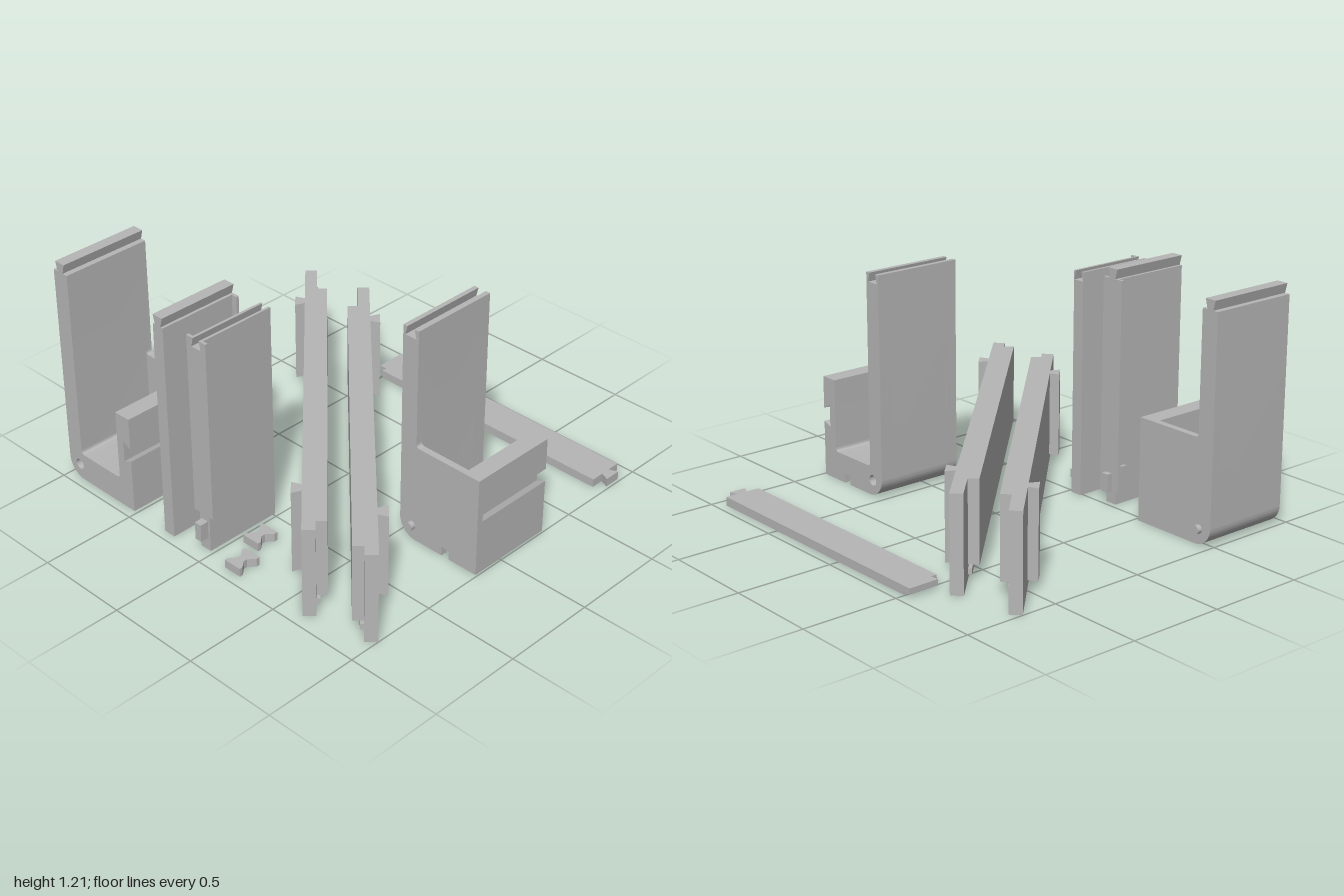
import * as THREE from 'three';
import { toCreasedNormals } from 'three/addons/utils/BufferGeometryUtils.js';

export function createModel() {
  const root = new THREE.Group();
  root.name = 'partKit';
  const grey = new THREE.MeshStandardMaterial({ color: 0xb6b6b6 });
  grey.name = 'plain grey';

  const add = (parent, name, geo) => {
    const m = new THREE.Mesh(geo, grey);
    m.name = name;
    parent.add(m);
    return m;
  };
  const group = (name) => {
    const g = new THREE.Group();
    g.name = name;
    root.add(g);
    return g;
  };
  const polygon = (pts) => new THREE.Shape(pts.map(([x, y]) => new THREE.Vector2(x, y)));
  const extrude = (shape, depth) => toCreasedNormals(
    new THREE.ExtrudeGeometry(shape, { depth, bevelEnabled: false, curveSegments: 12 }), 0.5);
  // front-view outline pushed along z from z0 to z1
  const alongZ = (shape, z0, z1) => extrude(shape, z1 - z0).translate(0, 0, z0);
  // plan outline of [x, z] points pushed up from y0 to y1
  const alongY = (pts, y0, y1) =>
    extrude(polygon(pts.map(([x, z]) => [x, -z])), y1 - y0).rotateX(-Math.PI / 2).translate(0, y0, 0);
  const box = (x0, x1, y0, y1, z0, z1) =>
    new THREE.BoxGeometry(x1 - x0, y1 - y0, z1 - z0)
      .translate((x0 + x1) / 2, (y0 + y1) / 2, (z0 + z1) / 2);

  // Dovetail tops, listed from +x to -x
  const TOP = 1.155;
  const ridge = (c) => [[c + 0.018, TOP], [c + 0.031, 1.205], [c - 0.031, 1.205], [c - 0.018, TOP]];
  const groove = (c, w) => [[c + w * 0.65, TOP], [c + w, 1.108], [c - w, 1.108], [c - w * 0.65, TOP]];

  // Bracket outline: tall post, block, optional pocket and clip notch
  function bracketShape(pocket, notch, top) {
    const s = new THREE.Shape();
    const lines = (pts) => pts.forEach(([x, y]) => s.lineTo(x, y));
    s.moveTo(0.1, 0);
    if (notch) {
      const a = 0.29 - notch / 2, b = 0.29 + notch / 2;
      lines([[a, 0], [a, 0.05], [b, 0.05], [b, 0]]);
    }
    s.lineTo(0.48, 0);
    if (pocket) {
      lines([[0.48, 0.29], [0.43, 0.27], [0.43, 0.385], [0.48, 0.36], [0.48, 0.53], [0.385, 0.53], [0.385, 0.17]]);
      s.quadraticCurveTo(0.385, 0.15, 0.365, 0.15);
      s.lineTo(0.115, 0.15);
      s.quadraticCurveTo(0.095, 0.15, 0.095, 0.17);
    } else {
      lines([[0.48, 0.53], [0.115, 0.53]]);
      s.quadraticCurveTo(0.095, 0.53, 0.095, 0.55);
    }
    lines([[0.095, TOP], ...top, [0, TOP], [0, 0.1]]);
    s.absarc(0.1, 0.1, 0.1, Math.PI, Math.PI * 1.5, false);
    if (pocket) {
      const hole = new THREE.Path();
      hole.absarc(0.075, 0.08, 0.028, 0, Math.PI * 2, true);
      s.holes.push(hole);
    }
    return s;
  }

  // slices: [start, end, pocket, notch], measured from the closed wall
  function bracket(name, x, wallZ, dir, top, slices) {
    const g = group(name);
    g.position.set(x, 0, wallZ);
    for (const [a, b, pocket, notch] of slices) {
      const z = [a * dir, b * dir].sort((p, q) => p - q);
      add(g, pocket ? 'pocketBody' : 'closedWall', alongZ(bracketShape(pocket, notch, top), z[0], z[1]));
    }
    add(g, 'hingePeg', new THREE.CylinderGeometry(0.022, 0.022, 0.04, 24)
      .rotateX(Math.PI / 2).translate(0.075, 0.08, -0.005 * dir));
  }
  bracket('leftBracket', -1, 0.47, 1, ridge(0.047), [[0, 0.035, false, 0], [0.035, 0.48, true, 0]]);
  bracket('rightBracket', 0.51, 0.17, -1, groove(0.047, 0.034), [
    [0, 0.035, false, 0.045], [0.035, 0.065, true, 0.09], [0.065, 0.415, true, 0],
    [0.415, 0.45, true, 0.09], [0.45, 0.48, true, 0.045]]);

  // Upright plates: core, edge flange and locking pin
  const plateShape = (c, w, y0, top) =>
    polygon([[c - w, y0], [c + w, y0], [c + w, TOP], ...top, [c - w, TOP]]);

  const ridged = group('ridgedPlate');
  add(ridged, 'core', alongZ(plateShape(-0.262, 0.033, 0, ridge(-0.262)), 0.53, 0.95));
  add(ridged, 'flange', alongZ(plateShape(-0.262, 0.063, 0.07, ridge(-0.262)), 0.515, 0.53));
  add(ridged, 'pin', box(-0.282, -0.242, 0.07, 0.165, 0.485, 0.52));
  add(ridged, 'crossBar', box(-0.312, -0.212, 0.165, 0.2, 0.55, 0.585));

  const grooved = group('groovedPlate');
  add(grooved, 'core', alongZ(plateShape(-0.054, 0.033, 0, groove(-0.054, 0.03)), 0.485, 0.905));
  add(grooved, 'flange', alongZ(plateShape(-0.054, 0.063, 0.2, groove(-0.054, 0.03)), 0.895, 0.91));
  add(grooved, 'pin', box(-0.074, -0.034, 0.07, 0.165, 0.9, 0.95));

  // Diagonal walls: u runs along the wall, v across it, side picks the tail face
  function wall(name, start, faceV, side) {
    const g = group(name);
    const R = Math.SQRT1_2;
    const place = (pts) => {
      const out = pts.map(([u, v]) => {
        const a = (start + u) * R, b = faceV + v * side;
        return [(a + b) * R, (a - b) * R];
      });
      return side > 0 ? out : out.reverse();
    };
    const rect = (u0, u1, v0, v1) => place([[u0, v0], [u0, v1], [u1, v1], [u1, v0]]);
    add(g, 'mainPanel', alongY(rect(0, 3.258, 0, 0.063), 0, 0.485));
    add(g, 'innerPanel', alongY(rect(0.274, 3.167, -0.053, 0), 0.07, 0.485));
    add(g, 'lowerBead', alongY(rect(0.274, 3.167, -0.018, 0), 0.02, 0.05));
    // u is doubled by the diagonal, so tail half-widths are scaled to match
    for (const c of [0.45, 2.807]) {
      add(g, 'dovetail', alongY(place([
        [c - 0.035, 0.063], [c - 0.062, 0.113], [c + 0.062, 0.113], [c + 0.035, 0.063]]), 0.04, 0.485));
    }
  }
  wall('frontWall', -1.687, -0.156, -1);
  wall('rearWall', -1.428, 0.056, 1);

  // Flat bar with a dovetail tongue and a stepped end
  const bar = group('flatBar');
  add(bar, 'bar', box(-0.49, 0.94, 0, 0.045, -0.95, -0.76));
  add(bar, 'steppedEnd', box(-0.535, -0.49, 0.015, 0.045, -0.95, -0.79));
  add(bar, 'tongue', alongY([[0.94, -0.83], [0.985, -0.81], [0.985, -0.9], [0.94, -0.88]], 0, 0.045));

  // Bow-tie joining clips
  for (const [x, z] of [[0.09, 0.688], [0.17, 0.88]]) {
    const quarter = [[0.05, 0.063], [0.05, 0.045], [0.02, 0.01]];
    const right = [...quarter, ...quarter.map(([a, b]) => [a, -b]).reverse()];
    const all = [...right, ...right.map(([a, b]) => [-a, -b])];
    add(root, 'joiningClip', alongY(all.map(([a, b]) => [x + a, z + b]), 0, 0.045));
  }
  return root;
}
